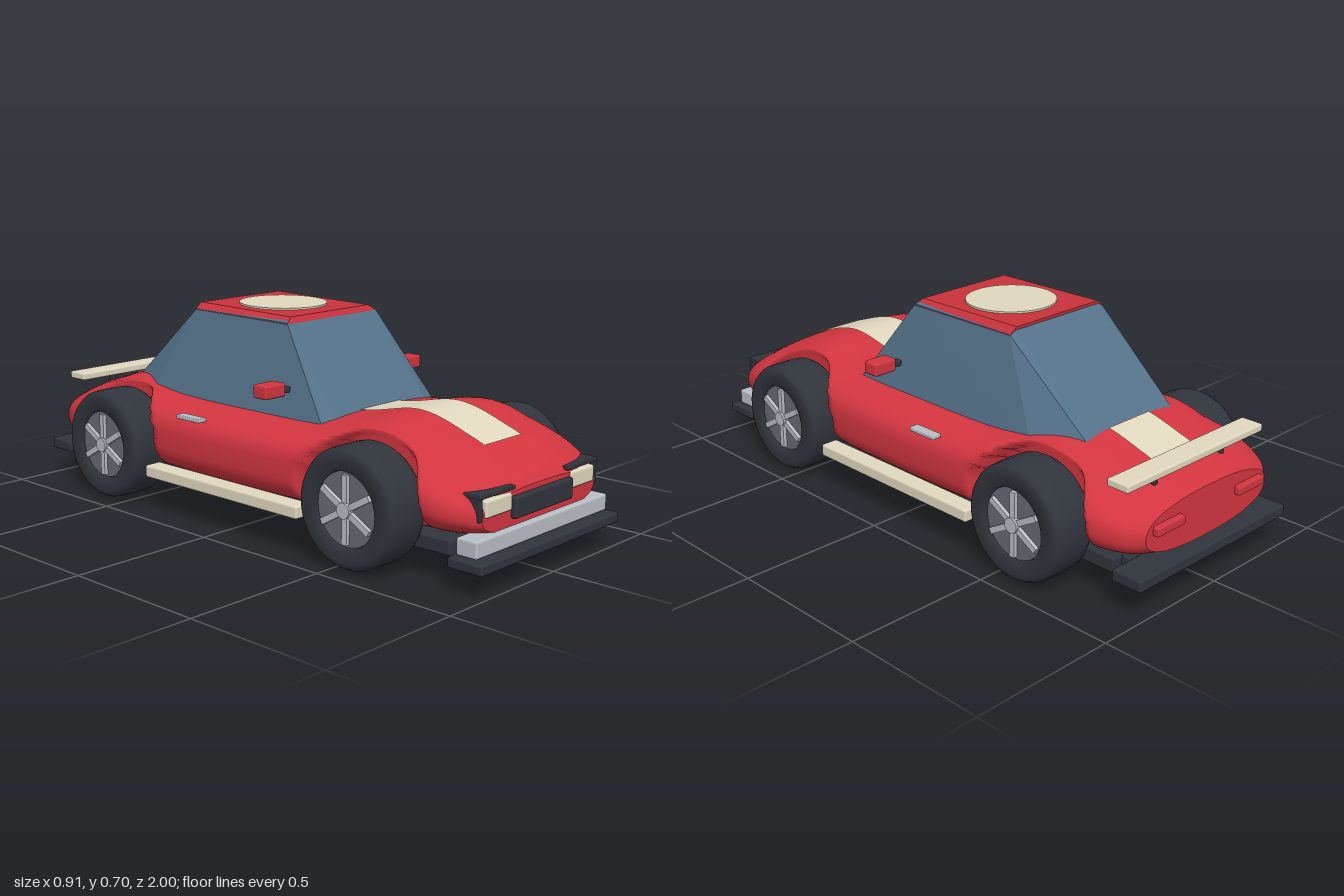
import * as THREE from 'three';
import { RoundedBoxGeometry } from 'three/addons/geometries/RoundedBoxGeometry.js';
import { ConvexGeometry } from 'three/addons/geometries/ConvexGeometry.js';

const mat = (color, opts = {}) => {
  const m = new THREE.MeshStandardMaterial(opts);
  m.color.set(color);
  return m;
};
const RED = mat(0xd2353f), GLASS = mat(0x54728a, { flatShading: true }), DARK = mat(0x30353c);
const CREAM = mat(0xe0d8be, { side: THREE.DoubleSide }), SILVER = mat(0xb9bec5);
const GOLD = mat(0xb08a4a), RIM = mat(0x666c74);
const ROOF = mat(0xc8323b, { flatShading: true });
const WHEELS = [0.56, -0.58], WHEEL_Y = 0.2;

// Body stations, rear to front: z, half width, bottom, top, squareness
const STATIONS = [
  [-0.96, 0.29, 0.15, 0.315, 2.4], [-0.9, 0.35, 0.135, 0.34, 2.5], [-0.78, 0.385, 0.125, 0.385, 2.6],
  [-0.58, 0.39, 0.12, 0.432, 3], [-0.32, 0.41, 0.12, 0.405, 3.2], [0, 0.415, 0.12, 0.4, 3.2],
  [0.32, 0.405, 0.12, 0.405, 3.2], [0.56, 0.385, 0.12, 0.442, 3], [0.76, 0.385, 0.125, 0.388, 2.5],
  [0.85, 0.37, 0.13, 0.345, 2.4], [0.91, 0.335, 0.14, 0.31, 2.4], [0.945, 0.29, 0.15, 0.275, 2.5],
];
const curve = (f) => new THREE.CatmullRomCurve3(STATIONS.map(f), false, 'catmullrom', 0.5);
const lower = curve((s) => new THREE.Vector3(s[0], s[1], s[2]));
const upper = curve((s) => new THREE.Vector3(s[0], s[3], s[4]));

function bodyGeometry() {
  const N = 110, M = 72, pos = [], idx = [];
  for (let i = 0; i <= N; i++) {
    const a = lower.getPoint(i / N), b = upper.getPoint(i / N);
    const z = a.x, mid = (a.z + b.y) / 2, half = (b.y - a.z) / 2;
    for (let j = 0; j < M; j++) {
      const t = (j / M) * Math.PI * 2, c = Math.cos(t), s = Math.sin(t);
      let x = Math.sign(c) * a.y * Math.abs(c) ** (2 / b.z);
      const y = mid + Math.sign(s) * half * Math.abs(s) ** (2 / b.z);
      // press the wheel arches into the sides
      for (const wz of WHEELS) {
        const k = 1 - THREE.MathUtils.smoothstep(Math.hypot(z - wz, y - WHEEL_Y), 0.205, 0.235);
        x = Math.sign(x) * THREE.MathUtils.lerp(Math.abs(x), Math.min(Math.abs(x), 0.285), k);
      }
      pos.push(x, y, z);
    }
  }
  for (let i = 0; i < N; i++) for (let j = 0; j < M; j++) {
    const k = (j + 1) % M, a = i * M + j, b = i * M + k;
    idx.push(a, b, b + M, a, b + M, a + M);
  }
  // flat nose and tail panels with their own vertices
  for (const [row, front] of [[0, false], [N, true]]) {
    const base = pos.length / 3;
    for (let j = 0; j < M; j++) pos.push(...pos.slice((row * M + j) * 3, (row * M + j) * 3 + 3));
    for (let j = 1; j < M - 1; j++) {
      if (front) idx.push(base, base + j, base + j + 1);
      else idx.push(base, base + j + 1, base + j);
    }
  }
  const g = new THREE.BufferGeometry();
  g.setAttribute('position', new THREE.Float32BufferAttribute(pos, 3));
  g.setIndex(idx);
  g.computeVertexNormals();
  return g;
}

// Painted stripe that follows the top of the body between two z values
function stripeGeometry(z0, z1) {
  const pos = [], idx = [];
  for (let i = 0; i <= 300; i++) {
    const p = upper.getPoint(i / 300), z = lower.getPoint(i / 300).x;
    if (z < z0 || z > z1) continue;
    pos.push(-0.095, p.y + 0.004, z, 0.095, p.y + 0.004, z);
  }
  for (let k = 0; k < pos.length / 3 - 2; k += 2) idx.push(k, k + 2, k + 1, k + 1, k + 2, k + 3);
  const g = new THREE.BufferGeometry();
  g.setAttribute('position', new THREE.Float32BufferAttribute(pos, 3));
  g.setIndex(idx);
  g.computeVertexNormals();
  return g;
}

// Convex solid from points given for x > 0, mirrored in x
const mirrorHull = (pts) => new ConvexGeometry(
  pts.flatMap(([x, y, z]) => [new THREE.Vector3(x, y, z), new THREE.Vector3(-x, y, z)]));

function makeWheel() {
  const wheel = new THREE.Group();
  const add = (name, geo, m) => {
    const mesh = new THREE.Mesh(geo, m);
    mesh.name = name;
    wheel.add(mesh);
    return mesh;
  };
  // tyre profile (radius, offset along the axle)
  const profile = [[0.115, -0.06], [0.12, -0.08], [0.165, -0.08], [0.18, -0.074], [0.188, -0.06], [0.19, -0.03],
    [0.19, 0.03], [0.188, 0.06], [0.18, 0.074], [0.165, 0.08], [0.12, 0.08], [0.115, 0.06]];
  const tyre = new THREE.LatheGeometry(profile.map((p) => new THREE.Vector2(...p)), 40);
  add('tyre', tyre.rotateZ(-Math.PI / 2), DARK);
  add('rim', new THREE.CylinderGeometry(0.118, 0.118, 0.13, 32).rotateZ(Math.PI / 2), RIM);
  add('hub', new THREE.CylinderGeometry(0.025, 0.025, 0.02, 16).rotateZ(Math.PI / 2), SILVER).position.x = 0.075;
  for (let i = 0; i < 6; i++) {
    const spoke = new THREE.BoxGeometry(0.016, 0.095, 0.02).translate(0.07, 0.06, 0);
    add('spoke', spoke.rotateX((i * Math.PI) / 3), SILVER);
  }
  return wheel;
}

export function createModel() {
  const car = new THREE.Group();
  car.name = 'car';
  const add = (name, geo, m) => {
    const mesh = new THREE.Mesh(geo, m);
    mesh.name = name;
    car.add(mesh);
    return mesh;
  };
  // rounded box from its extents
  const box = (name, m, x0, x1, y0, y1, z0, z1) => {
    const w = x1 - x0, h = y1 - y0, d = z1 - z0;
    const g = new RoundedBoxGeometry(w, h, d, 2, Math.min(0.008, Math.min(w, h, d) * 0.25));
    return add(name, g, m).position.set((x0 + x1) / 2, (y0 + y1) / 2, (z0 + z1) / 2);
  };
  const pair = (name, m, x0, x1, ...rest) => {
    box(name + 'Left', m, x0, x1, ...rest);
    box(name + 'Right', m, -x1, -x0, ...rest);
  };

  add('body', bodyGeometry(), RED);
  add('hoodStripe', stripeGeometry(0.3, 0.805), CREAM);
  add('tailStripe', stripeGeometry(-0.84, -0.64), CREAM);

  // Cabin
  add('cabinGlass', mirrorHull([
    [0.22, 0.37, 0.34], [0.28, 0.37, 0.32], [0.285, 0.37, -0.5], [0.2, 0.37, -0.7],
    [0.215, 0.678, 0.1], [0.215, 0.68, -0.335], [0.19, 0.69, 0.09], [0.19, 0.69, -0.34],
  ]), GLASS);
  add('roof', mirrorHull([
    [0.217, 0.674, 0.103], [0.217, 0.678, -0.338], [0.188, 0.694, 0.09], [0.188, 0.7, -0.34],
  ]), ROOF);
  const roundel = add('roofRoundel', new THREE.CylinderGeometry(0.15, 0.15, 0.006, 40), CREAM);
  roundel.position.set(0, 0.7, -0.13);
  roundel.rotation.x = 0.014;

  // Mirrors, handles and sills
  pair('mirror', RED, 0.292, 0.382, 0.46, 0.505, 0.11, 0.17);
  pair('mirrorStalk', DARK, 0.235, 0.3, 0.466, 0.484, 0.125, 0.155);
  pair('doorHandle', SILVER, 0.39, 0.425, 0.35, 0.364, -0.21, -0.1);
  pair('sill', CREAM, 0.37, 0.435, 0.122, 0.165, -0.365, 0.35);

  // Underside and aero parts
  box('floorPan', DARK, -0.3, 0.3, 0.085, 0.135, -0.85, 0.84);
  box('frontSplitter', DARK, -0.36, 0.36, 0.076, 0.11, 0.875, 1);
  box('splitterMount', DARK, -0.26, 0.26, 0.09, 0.13, 0.8, 0.92);
  box('rearValance', DARK, -0.355, 0.355, 0.1, 0.14, -1, -0.89);
  box('rearMount', DARK, -0.26, 0.26, 0.1, 0.135, -0.92, -0.82);
  box('keelFin', DARK, -0.018, 0.018, 0.004, 0.1, 0.58, 0.79);
  pair('contactPlate', GOLD, 0.05, 0.105, 0.004, 0.014, 0.58, 0.79);
  box('spoiler', CREAM, -0.325, 0.325, 0.374, 0.4, -0.915, -0.835);
  pair('spoilerPost', DARK, 0.15, 0.17, 0.32, 0.38, -0.885, -0.865);

  // Front and rear details
  box('frontBumper', SILVER, -0.34, 0.34, 0.113, 0.168, 0.89, 0.965);
  box('grille', DARK, -0.15, 0.15, 0.19, 0.258, 0.89, 0.962);
  pair('headlight', CREAM, 0.152, 0.28, 0.218, 0.272, 0.88, 0.952);
  pair('headlightBrow', DARK, 0.135, 0.305, 0.278, 0.29, 0.88, 0.948);
  pair('headlightEdge', DARK, 0.288, 0.303, 0.21, 0.288, 0.86, 0.945);
  pair('tailLight', RED, 0.13, 0.26, 0.235, 0.267, -0.98, -0.94);

  // Wheels
  for (const [end, z] of [['front', WHEELS[0]], ['rear', WHEELS[1]]]) for (const side of [1, -1]) {
    const wheel = makeWheel();
    wheel.name = end + (side > 0 ? 'Left' : 'Right') + 'Wheel';
    wheel.position.set(side * 0.37, WHEEL_Y, z);
    wheel.rotation.y = side > 0 ? 0 : Math.PI;
    car.add(wheel);
  }
  return car;
}
